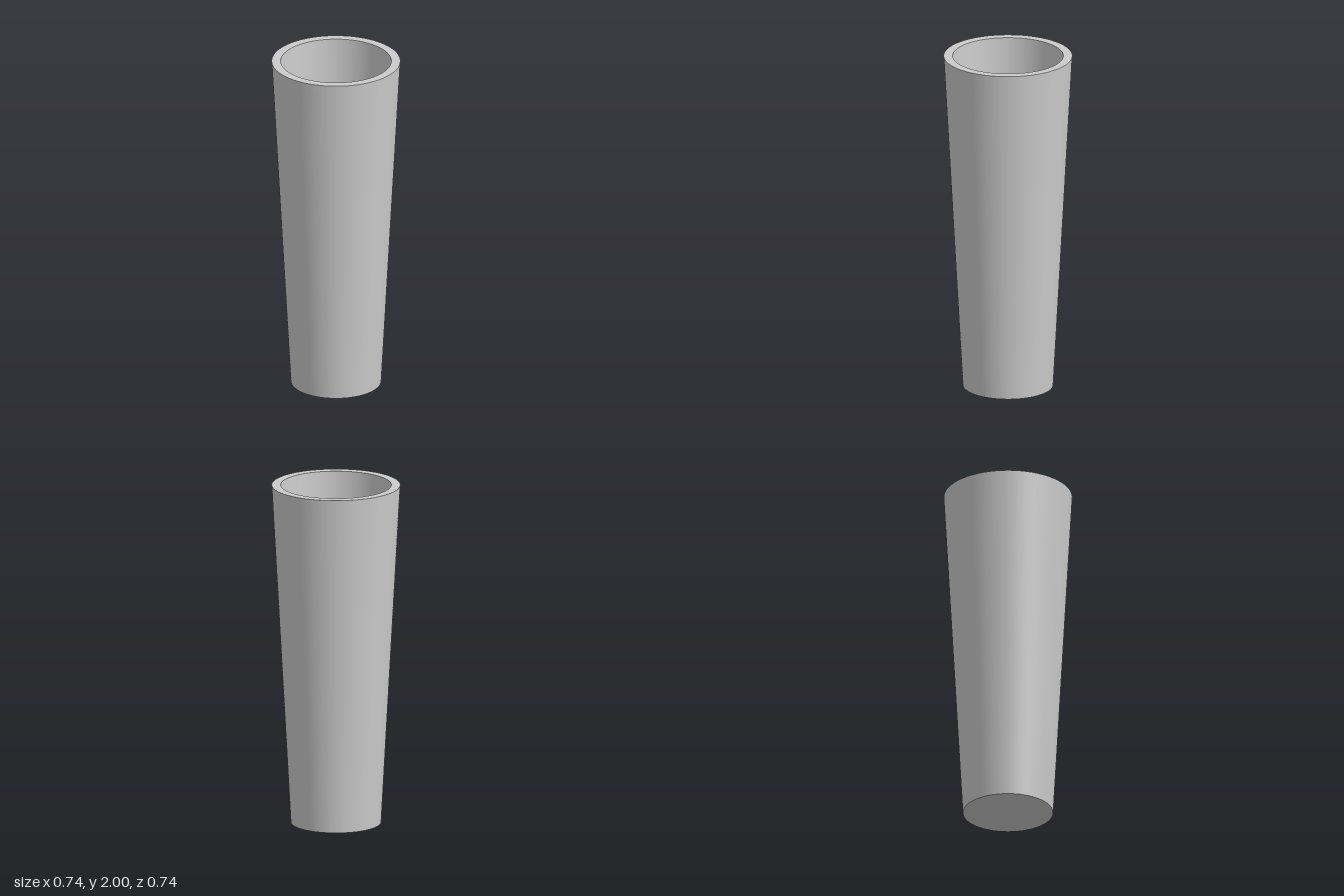
import * as THREE from 'three';

const SEGMENTS = 96;

export function createModel() {
  const group = new THREE.Group();
  group.name = 'taperedVase';
  const material = new THREE.MeshStandardMaterial({ color: 0xcccccc });

  // Each section is its own lathe, so the edges between them stay sharp
  const sections = {
    base: [[0, 0], [0.26, 0]],
    outerWall: [[0.26, 0], [0.37, 2]],
    rim: [[0.37, 2], [0.318, 2]],
    innerWall: [[0.318, 2], [0.21, 0.05]],
    innerFloor: [[0.21, 0.05], [0, 0.05]],
  };

  for (const [name, profile] of Object.entries(sections)) {
    const points = profile.map(([r, y]) => new THREE.Vector2(r, y));
    const mesh = new THREE.Mesh(new THREE.LatheGeometry(points, SEGMENTS), material);
    mesh.name = name;
    group.add(mesh);
  }
  return group;
}
